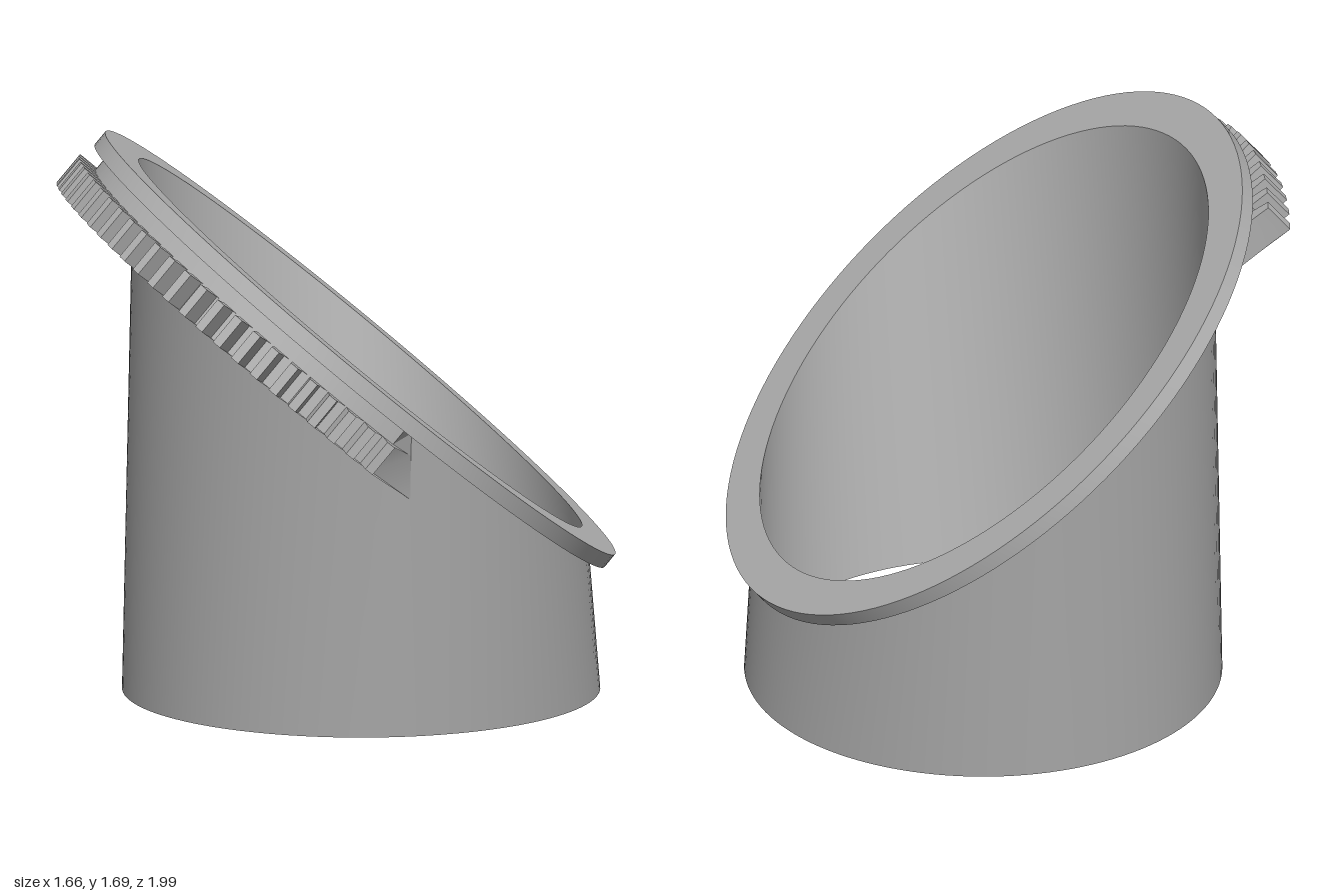
import * as THREE from 'three';
import { toCreasedNormals } from 'three/addons/utils/BufferGeometryUtils.js';

const rad = THREE.MathUtils.degToRad;
const TILT = rad(40);
const N = new THREE.Vector3(Math.sin(TILT), Math.cos(TILT), 0);   // rim axis
const U = new THREE.Vector3(Math.cos(TILT), -Math.sin(TILT), 0);  // downhill direction
const TOP = new THREE.Vector3(0.0725, 1.055, -0.01);              // centre of the top face
const BASE = new THREE.Vector3(0.075, 0, -0.01);                  // centre of the base

// Point on a circle parallel to the tilted rim, "depth" below the top face
const rimPoint = (a, r, depth) => TOP.clone()
  .addScaledVector(U, r * Math.cos(a))
  .addScaledVector(N, -depth)
  .add(new THREE.Vector3(0, 0, r * Math.sin(a)));

const basePoint = (a, r) => BASE.clone().add(new THREE.Vector3(r * Math.cos(a), 0, r * Math.sin(a)));

// Point on the outer wall of the tapered tube, "depth" below the top face
function wallPoint(a, depth) {
  const b = basePoint(a, 0.715), t = rimPoint(a, 0.88, 0);
  const drop = t.clone().sub(b).dot(N);
  return t.lerp(b, depth / drop);
}

// Join four-cornered cross-sections into a solid; cap the ends unless closed
function loft(sections, closed) {
  const pos = [];
  const quad = (a, b, c, d) => [a, b, c, a, c, d].forEach(p => pos.push(p.x, p.y, p.z));
  const count = sections.length;
  for (let i = 0; i < (closed ? count : count - 1); i++) {
    const s = sections[i], e = sections[(i + 1) % count];
    for (let j = 0; j < 4; j++) {
      const k = (j + 1) % 4;
      quad(s[j], s[k], e[k], e[j]);
    }
  }
  if (!closed) {
    quad(...[...sections[0]].reverse());
    quad(...sections[count - 1]);
  }
  const g = new THREE.BufferGeometry();
  g.setAttribute('position', new THREE.Float32BufferAttribute(pos, 3));
  return toCreasedNormals(g, 0.4);
}

// Cross-section reaching from the tube wall out to radius r
const collar = (a, r, top, bottom) => [
  wallPoint(a, bottom), rimPoint(a, r, bottom), rimPoint(a, r, top), wallPoint(a, top),
];

export function createModel() {
  const model = new THREE.Group();
  const grey = new THREE.MeshStandardMaterial({ color: 0xb2b2b2 });
  grey.name = 'grey';
  const add = (name, geometry) => {
    const mesh = new THREE.Mesh(geometry, grey);
    mesh.name = name;
    model.add(mesh);
  };

  const SEG = 128;
  const circle = Array.from({ length: SEG }, (_, i) => (i / SEG) * Math.PI * 2);

  // Thin tube from the flat base circle to the tilted rim circle
  add('tube', loft(circle.map(a => [
    basePoint(a, 0.695), basePoint(a, 0.715), rimPoint(a, 0.88, 0), rimPoint(a, 0.86, 0),
  ]), true));

  // Flat flange round the rim
  add('flange', loft(circle.map(a => collar(a, 0.99, 0, 0.05)), true));

  // Toothed sector on the high side
  const start = 87, teeth = 26, pitch = 4.3, root = 0.94, tip = 1.005;
  const profile = [];
  for (let i = 0; i < teeth; i++) {
    for (const [f, r] of [[0, root], [0.1, tip], [0.48, tip], [0.58, root]]) {
      profile.push([rad(start + pitch * (i + f)), r]);
    }
  }
  add('gearSector', loft(profile.map(([a, r]) => collar(a, r, 0.105, 0.21)), false));

  // Plain spacer between the sector and the flange
  add('gearSpacer', loft(profile.map(([a]) => collar(a, root, 0.05, 0.105)), false));

  return model;
}
